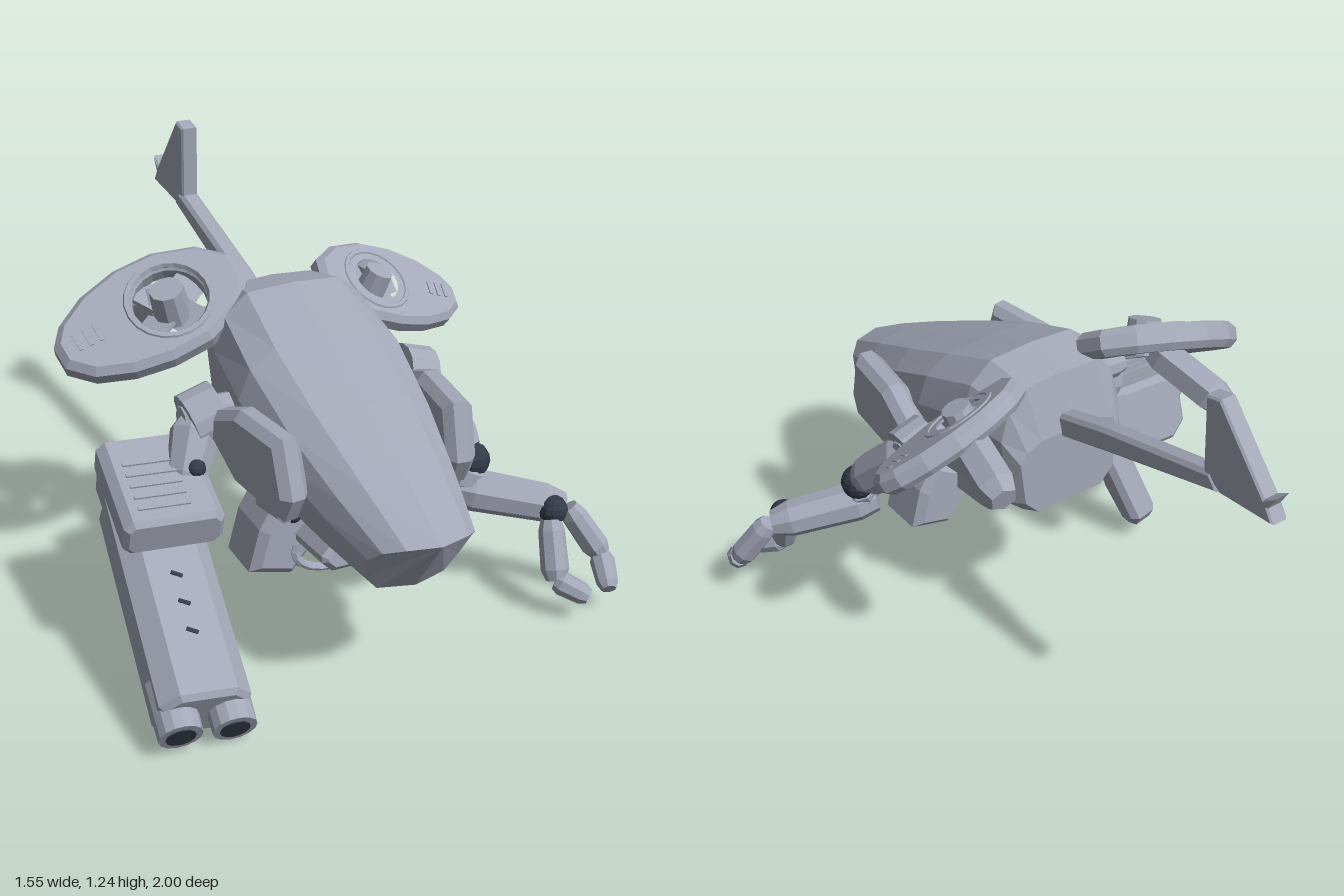
import * as THREE from 'three';

const grey = new THREE.MeshStandardMaterial({ color: 0xa3a7b7 });
const dark = new THREE.MeshStandardMaterial({ color: 0x343a47 });
grey.name = 'hullGrey'; dark.name = 'jointDark';
for (const m of [grey, dark]) m.flatShading = true;

const CX = -0.035; // centre line of the fuselage
const V = (p) => new THREE.Vector3(...p);

function add(parent, name, geo, mat = grey, pos = [0, 0, 0], rot = [0, 0, 0]) {
  const m = new THREE.Mesh(geo, mat);
  m.name = name;
  m.position.set(...pos);
  m.rotation.set(...rot);
  parent.add(m);
  return m;
}

// Bevelled slab from a 2D outline, centred on its thickness
function slab(pts, depth, bevel = 0.01, hole = 0) {
  const s = new THREE.Shape(pts.map((p) => new THREE.Vector2(...p)));
  if (hole) s.holes.push(new THREE.Path().absarc(0, 0, hole, 0, Math.PI * 2, true));
  const g = new THREE.ExtrudeGeometry(s, {
    depth: depth - 2 * bevel, bevelEnabled: bevel > 0, bevelSize: bevel, bevelThickness: bevel,
    bevelOffset: -bevel, bevelSegments: 1, curveSegments: 10,
  });
  return g.translate(0, 0, -depth / 2 + bevel);
}
// Slab whose outline is given as [z, y] and whose thickness runs along x
const sideSlab = (pts, width, bevel) => slab(pts, width, bevel).rotateY(-Math.PI / 2);

// Box section with cut corners, running along z
function chamferBox(w, h, l, c) {
  const x = w / 2, y = h / 2;
  return slab([[-x + c, -y], [x - c, -y], [x, -y + c], [x, y - c], [x - c, y], [-x + c, y], [-x, y - c], [-x, -y + c]], l, 0.015);
}

// Tapered segment with narrowed ends between two points
function limb(parent, name, a, b, r1, r2, sides = 8) {
  const A = V(a), B = V(b), L = A.distanceTo(B);
  const prof = [[0, 0], [r1 * 0.75, 0], [r1, L * 0.18], [r2, L * 0.82], [r2 * 0.7, L], [0, L]];
  const m = add(parent, name, new THREE.LatheGeometry(prof.map((p) => new THREE.Vector2(...p)), sides), grey, a);
  m.quaternion.setFromUnitVectors(new THREE.Vector3(0, 1, 0), B.sub(A).normalize());
}
const ball = (r) => new THREE.SphereGeometry(r, 12, 8);

// Fuselage lofted through cross-sections: z, slant, half width, y top, y mid, y low, y bottom
function hullGeometry() {
  const rows = [
    [1.0, 0.7, 0.16, 0.572, 0.51, 0.43, 0.38], [0.8, 0.3, 0.205, 0.668, 0.56, 0.46, 0.4],
    [0.55, 0.1, 0.25, 0.78, 0.64, 0.5, 0.43], [0.3, 0, 0.272, 0.888, 0.74, 0.54, 0.47],
    [0.08, 0, 0.255, 0.975, 0.8, 0.55, 0.5], [-0.07, 0, 0.22, 0.945, 0.78, 0.55, 0.5],
    [-0.12, 0, 0.185, 0.77, 0.71, 0.56, 0.51],
  ];
  const pos = [], idx = [];
  for (const [z, slant, w, yT, yM, yL, yB] of rows) {
    const d = yT - yM;
    const half = [[0, yT], [0.58 * w, yT - 0.05 * d], [0.87 * w, yT - 0.4 * d], [w, yM], [0.9 * w, yL], [0.65 * w, yB], [0, yB]];
    const ring = [...half, ...half.slice(1, -1).reverse().map(([x, y]) => [-x, y])];
    for (const [x, y] of ring) pos.push(x + CX, y, z - slant * (yT - y) - slant * 4 * x * x);
  }
  const n = 12, last = rows.length - 1;
  for (let i = 0; i < last; i++) for (let j = 0; j < n; j++) {
    const a = i * n + j, b = i * n + (j + 1) % n;
    idx.push(a, b, a + n, b, b + n, a + n);
  }
  for (let j = 1; j < n - 1; j++) {
    idx.push(0, j + 1, j, last * n, last * n + j, last * n + j + 1);
  }
  const g = new THREE.BufferGeometry();
  g.setAttribute('position', new THREE.Float32BufferAttribute(pos, 3));
  g.setIndex(idx);
  const flat = g.toNonIndexed();
  flat.computeVertexNormals();
  return flat;
}

// Ducted lift fan with a vented outer tip; side is +1 or -1
function liftFan(side, pos, scale, roll) {
  const g = new THREE.Group();
  g.name = side > 0 ? 'leftFan' : 'rightFan';
  const outline = [[-0.24, 0.06], [-0.16, 0.14], [-0.03, 0.185], [0.1, 0.185], [0.23, 0.15], [0.33, 0.09], [0.375, 0.03],
    [0.375, -0.05], [0.31, -0.12], [0.2, -0.165], [0.08, -0.185], [-0.05, -0.18], [-0.17, -0.13], [-0.24, -0.05]];
  add(g, 'fanDuct', slab(outline.map(([x, y]) => [x * side, y]), 0.085, 0.022, 0.115).rotateX(-Math.PI / 2));
  add(g, 'ductRim', new THREE.TorusGeometry(0.13, 0.014, 6, 20), grey, [0, 0.036, 0], [Math.PI / 2, 0, 0]);
  add(g, 'fanHub', new THREE.CylinderGeometry(0.053, 0.06, 0.11, 10), grey, [0, 0.02, 0], [-0.3, 0, 0]);
  for (let i = 0; i < 4; i++) {
    const a = i * Math.PI / 2 + 0.5;
    add(g, 'fanBlade', new THREE.BoxGeometry(0.12, 0.012, 0.1).rotateX(0.35).translate(0.07, -0.015, 0), grey, [0, 0, 0], [0, a, 0]);
  }
  for (let i = 0; i < 3; i++) {
    add(g, 'tipVent', new THREE.BoxGeometry(0.012, 0.006, 0.06), grey, [side * (0.24 + i * 0.034), 0.043, 0]);
  }
  g.position.set(...pos);
  g.scale.setScalar(scale);
  g.rotation.set(0.55, 0, -side * roll, 'ZXY');
  return g;
}

export function createModel() {
  const model = new THREE.Group();
  model.name = 'flyingWalkerDrone';

  // Fuselage, belly and chin
  add(model, 'fuselage', hullGeometry());
  add(model, 'belly', sideSlab([[0.68, 0.47], [0.6, 0.36], [0.45, 0.33], [0.14, 0.355], [0.06, 0.41], [0.1, 0.53], [0.6, 0.53]], 0.3, 0.03), grey, [CX, 0, 0]);
  add(model, 'chin', chamferBox(0.36, 0.08, 0.2, 0.03), grey, [CX, 0.378, 0.57], [-0.1, 0, 0]);
  add(model, 'chinRing', new THREE.TorusGeometry(0.12, 0.017, 8, 20), grey, [-0.095, 0.315, 0.47]).scale.y = 0.65;
  for (const s of [1, -1]) {
    add(model, 'sensorEye', ball(0.025), dark, [CX + s * 0.195, 0.455, 0.5]);
    // Landing pods splayed below the belly
    const pod = [[0.12, 0.44], [0.1, 0.33], [0.18, 0.235], [0.315, 0.27], [0.28, 0.4], [0.22, 0.5]];
    add(model, 'landingPod', slab(pod.map(([x, y]) => [x * s, y]), 0.2, 0.025), grey, [CX, 0, 0.38]);
    // Shoulder armour, toed in to follow the hull
    const armour = new THREE.Group();
    armour.name = 'shoulderArmour';
    armour.position.set(CX + s * 0.285, 0, 0.45);
    armour.rotation.y = -s * 0.13;
    model.add(armour);
    add(armour, 'armourPlate', sideSlab([[0.17, 0.765], [-0.05, 0.765], [-0.18, 0.71], [-0.19, 0.62], [-0.05, 0.53], [0.18, 0.52], [0.22, 0.6]], 0.09, 0.025));
    add(armour, 'armourRib', sideSlab([[0.15, 0.7], [-0.03, 0.7], [-0.01, 0.47], [0.13, 0.48]], 0.05, 0.015), grey, [-s * 0.02, 0, 0]);
    // Shoulder joint
    add(model, 'shoulderJoint', new THREE.CylinderGeometry(0.09, 0.09, 0.1, 14), grey, [CX + s * 0.34, 0.66, 0.2], [0, 0, Math.PI / 2 - s * 0.3]);
    limb(model, 'shoulderAxle', [CX + s * 0.15, 0.66, 0.2], [CX + s * 0.41, 0.66, 0.2], 0.06, 0.06);
    // Short bracket from the hull to each fan
    limb(model, 'fanBracket', [CX + s * 0.1, 0.85, 0], [CX + s * 0.27, 0.86, -0.03], 0.045, 0.04);
  }

  // Tail boom and fin
  add(model, 'tailBoom', sideSlab([[-0.06, 0.73], [-0.06, 0.81], [-0.3, 0.885], [-0.76, 1.0], [-0.8, 0.95], [-0.32, 0.81]], 0.065, 0.012), grey, [CX, 0, 0]);
  add(model, 'tailFin', sideSlab([[-0.72, 1.225], [-0.775, 1.237], [-0.96, 1.03], [-1, 1.055], [-0.975, 1.01], [-1, 0.97], [-0.8, 0.95], [-0.73, 0.99]], 0.055, 0.006), grey, [CX, 0, 0]);

  // Lift fans with rear struts
  model.add(liftFan(1, [0.285, 0.868, -0.03], 0.83, 0.33));
  model.add(liftFan(-1, [-0.375, 0.912, -0.045], 0.97, 0.3));
  limb(model, 'fanStrut', [0.32, 0.88, -0.06], [0.36, 0.81, -0.33], 0.06, 0.06, 6);
  limb(model, 'fanStrut', [-0.39, 0.9, -0.07], [-0.45, 0.81, -0.35], 0.06, 0.06, 6);

  // Left arm with a two-finger claw
  const arm = new THREE.Group();
  arm.name = 'leftArm';
  model.add(arm);
  limb(arm, 'upperArm', [0.32, 0.65, 0.2], [0.4, 0.468, 0.395], 0.075, 0.07);
  add(arm, 'elbow', ball(0.056), dark, [0.405, 0.445, 0.415]);
  limb(arm, 'forearm', [0.345, 0.365, 0.41], [0.65, 0.3, 0.56], 0.066, 0.06);
  limb(arm, 'elbowLink', [0.4, 0.425, 0.42], [0.37, 0.36, 0.43], 0.054, 0.05);
  add(arm, 'wrist', ball(0.046), dark, [0.6, 0.308, 0.575]);
  const fingers = [[[0.585, 0.285, 0.59], [0.565, 0.12, 0.67], [0.635, 0.085, 0.745]],
    [[0.66, 0.3, 0.57], [0.745, 0.15, 0.64], [0.715, 0.085, 0.735]]];
  for (const [a, b, c] of fingers) {
    limb(arm, 'fingerBase', a, b, 0.04, 0.043);
    limb(arm, 'fingerTip', b, c, 0.038, 0.033);
  }

  // Right arm carrying the twin cannon
  limb(model, 'rightUpperArm', [-0.395, 0.65, 0.2], [-0.48, 0.5, 0.3], 0.075, 0.06);
  add(model, 'rightElbow', ball(0.03), dark, [-0.447, 0.56, 0.31]);
  const housing = new THREE.Group();
  housing.name = 'cannonHousing';
  housing.position.set(-0.555, 0.5, 0.29);
  housing.rotation.set(0.27, -0.1, -0.04, 'YXZ');
  model.add(housing);
  add(housing, 'housingBox', chamferBox(0.29, 0.12, 0.36, 0.025));
  add(housing, 'housingRear', chamferBox(0.27, 0.23, 0.2, 0.05), grey, [0, -0.06, -0.085]);
  for (let i = 0; i < 5; i++) {
    add(housing, 'housingVent', new THREE.BoxGeometry(0.15, 0.008, 0.012), grey, [-0.02, 0.061, -0.06 + i * 0.045]);
  }

  const cannon = new THREE.Group();
  cannon.name = 'twinCannon';
  cannon.position.set(-0.597, 0.26, 0.49);
  cannon.rotation.set(0.48, -0.12, -0.1, 'YXZ');
  model.add(cannon);
  add(cannon, 'cannonBody', chamferBox(0.26, 0.205, 0.7, 0.05), grey, [0, -0.008, 0]);
  for (const s of [1, -1]) {
    add(cannon, 'barrel', new THREE.CylinderGeometry(0.062, 0.066, 0.16, 14), grey, [s * 0.076, -0.007, 0.325], [Math.PI / 2, 0, 0]);
    add(cannon, 'muzzle', new THREE.CylinderGeometry(0.042, 0.042, 0.008, 14), dark, [s * 0.076, -0.007, 0.404], [Math.PI / 2, 0, 0]);
  }
  for (let i = 0; i < 3; i++) {
    add(cannon, 'bodyVent', new THREE.BoxGeometry(0.035, 0.004, 0.012), dark, [0, 0.095, -0.03 + i * 0.09], [0, -0.5, 0]);
  }
  // Stabiliser blade under the cannon
  add(model, 'cannonBlade', sideSlab([[0.25, 0], [0.17, 0.01], [0.06, -0.26], [0.09, -0.31], [0.15, -0.305], [0.22, -0.18]], 0.1, 0.02), grey, [-0.447, 0.36, 0], [0, 0, -0.25]);
  return model;
}
